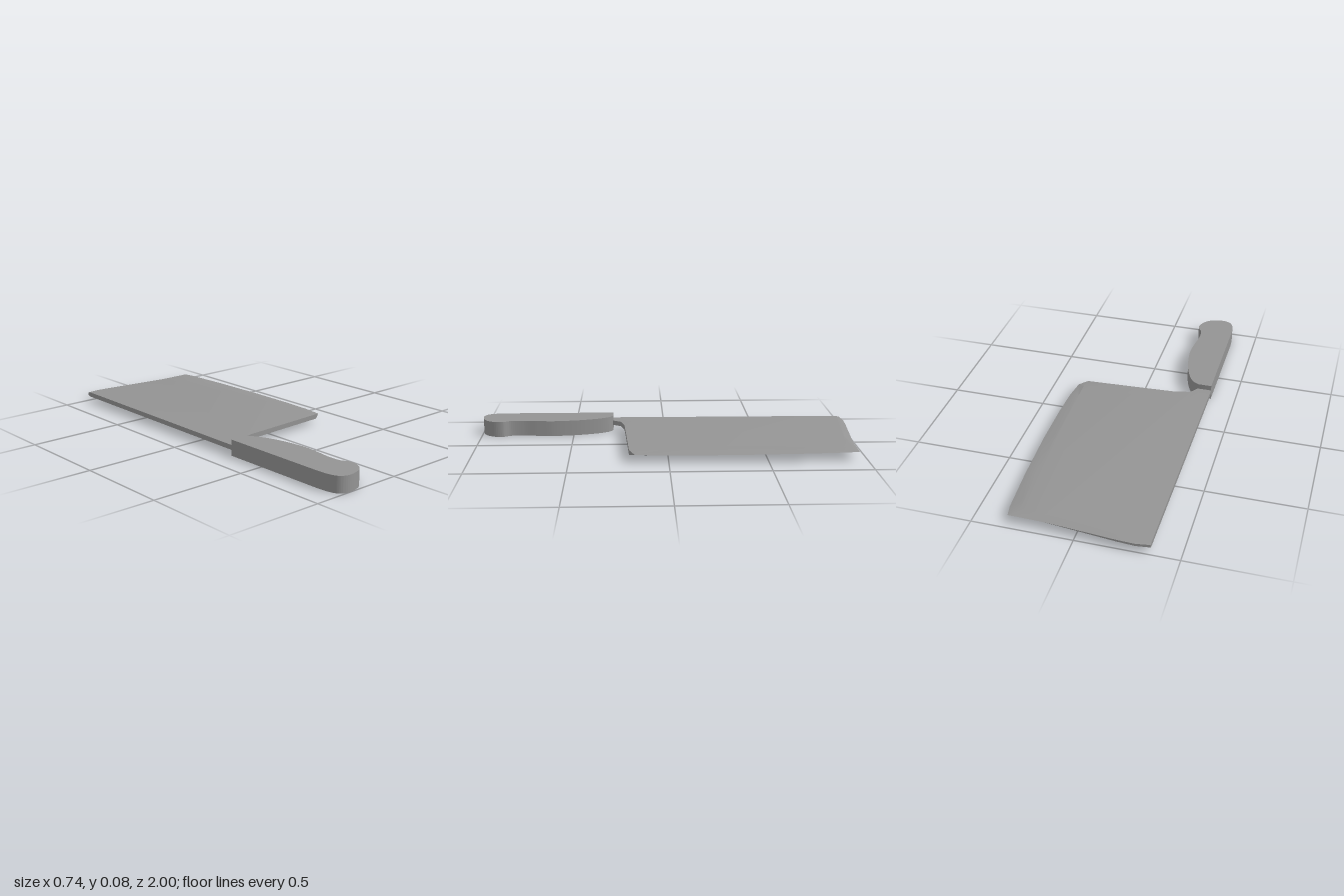
import * as THREE from 'three';
import { toCreasedNormals } from 'three/addons/utils/BufferGeometryUtils.js';

const material = new THREE.MeshStandardMaterial({ color: 0x949494 });
const BOTTOM = 0.03, TOP = 0.055, MID = (BOTTOM + TOP) / 2, HALF = (TOP - BOTTOM) / 2;

// Blade outline: x, z, then x and z of the flat face's border, then rim thickness (1 = full)
const BLADE = [
  [-0.37, 0.3, -0.37, 0.3, 1],
  [-0.36, -0.99, -0.36, -0.97, 0.6],
  [-0.29, -1.0, -0.29, -0.975, 0.5],
  [-0.2, -0.995, -0.2, -0.965, 0.4],
  [0.05, -0.972, 0.05, -0.935, 0.15],
  [0.16, -0.963, 0.15, -0.92, 0],
  [0.33, -0.96, 0.28, -0.91, 0],
  [0.342, -0.9, 0.29, -0.86, 0],
  [0.358, -0.65, 0.3, -0.64, 0],
  [0.368, -0.35, 0.31, -0.35, 0],
  [0.368, -0.1, 0.31, -0.1, 0],
  [0.362, 0.06, 0.31, 0.05, 0],
  [0.348, 0.17, 0.31, 0.145, 0],
  [0.303, 0.198, 0.303, 0.198, 1],
  [0.0, 0.213, 0.0, 0.213, 1],
  [-0.19, 0.223, -0.19, 0.223, 1],
  [-0.265, 0.243, -0.265, 0.243, 1],
  [-0.3, 0.29, -0.3, 0.29, 1],
  [-0.3, 0.3, -0.3, 0.3, 1],
];

// Blade skin: flat faces above and below, joined by bevels and a rim
function bladeGeometry() {
  const rings = [
    BLADE.map(([, , x, z]) => [x, TOP, z]),
    BLADE.map(([x, z, , , t]) => [x, MID + t * HALF, z]),
    BLADE.map(([x, z, , , t]) => [x, MID - t * HALF, z]),
    BLADE.map(([, , x, z]) => [x, BOTTOM, z]),
  ];
  const positions = [];
  const tri = (a, b, c) => {
    const [A, B, C] = [a, b, c].map((p) => new THREE.Vector3(...p));
    if (B.sub(A).cross(C.sub(A)).length() > 1e-8) positions.push(...a, ...b, ...c);
  };
  const n = BLADE.length;
  for (let r = 0; r < 3; r++) {
    for (let i = 0; i < n; i++) {
      const j = (i + 1) % n;
      const [a, b, c, d] = [rings[r][i], rings[r][j], rings[r + 1][j], rings[r + 1][i]];
      tri(a, b, c);
      tri(a, c, d);
    }
  }
  const flat = BLADE.map(([, , x, z]) => new THREE.Vector2(x, -z));
  for (let [a, b, c] of THREE.ShapeUtils.triangulateShape(flat, [])) {
    if (THREE.ShapeUtils.area([flat[a], flat[b], flat[c]]) < 0) [b, c] = [c, b];
    tri(rings[0][a], rings[0][b], rings[0][c]);
    tri(rings[3][a], rings[3][c], rings[3][b]);
  }
  const geometry = new THREE.BufferGeometry();
  geometry.setAttribute('position', new THREE.Float32BufferAttribute(positions, 3));
  return toCreasedNormals(geometry, 0.3);
}

// Handle: straight back, curved finger grip and rounded butt
function handleGeometry() {
  const grip = [
    [-0.26, 0.312], [-0.225, 0.38], [-0.197, 0.48], [-0.182, 0.6], [-0.188, 0.69],
    [-0.198, 0.77], [-0.194, 0.84], [-0.171, 0.885], [-0.18, 0.935], [-0.218, 0.98],
    [-0.29, 1.0], [-0.34, 0.985], [-0.363, 0.94], [-0.37, 0.87],
  ];
  const shape = new THREE.Shape();
  shape.moveTo(-0.37, -0.285);
  shape.lineTo(-0.3, -0.285);
  shape.splineThru(grip.map(([x, z]) => new THREE.Vector2(x, -z)));
  shape.closePath();
  const geometry = new THREE.ExtrudeGeometry(shape, { depth: 0.083, bevelEnabled: false, curveSegments: 48 });
  geometry.rotateX(-Math.PI / 2);
  return toCreasedNormals(geometry, 0.6);
}

export function createModel() {
  const model = new THREE.Group();
  model.name = 'cleaver';
  const add = (name, geometry) => {
    const mesh = new THREE.Mesh(geometry, material);
    mesh.name = name;
    model.add(mesh);
  };
  add('blade', bladeGeometry());
  add('handle', handleGeometry());
  return model;
}
